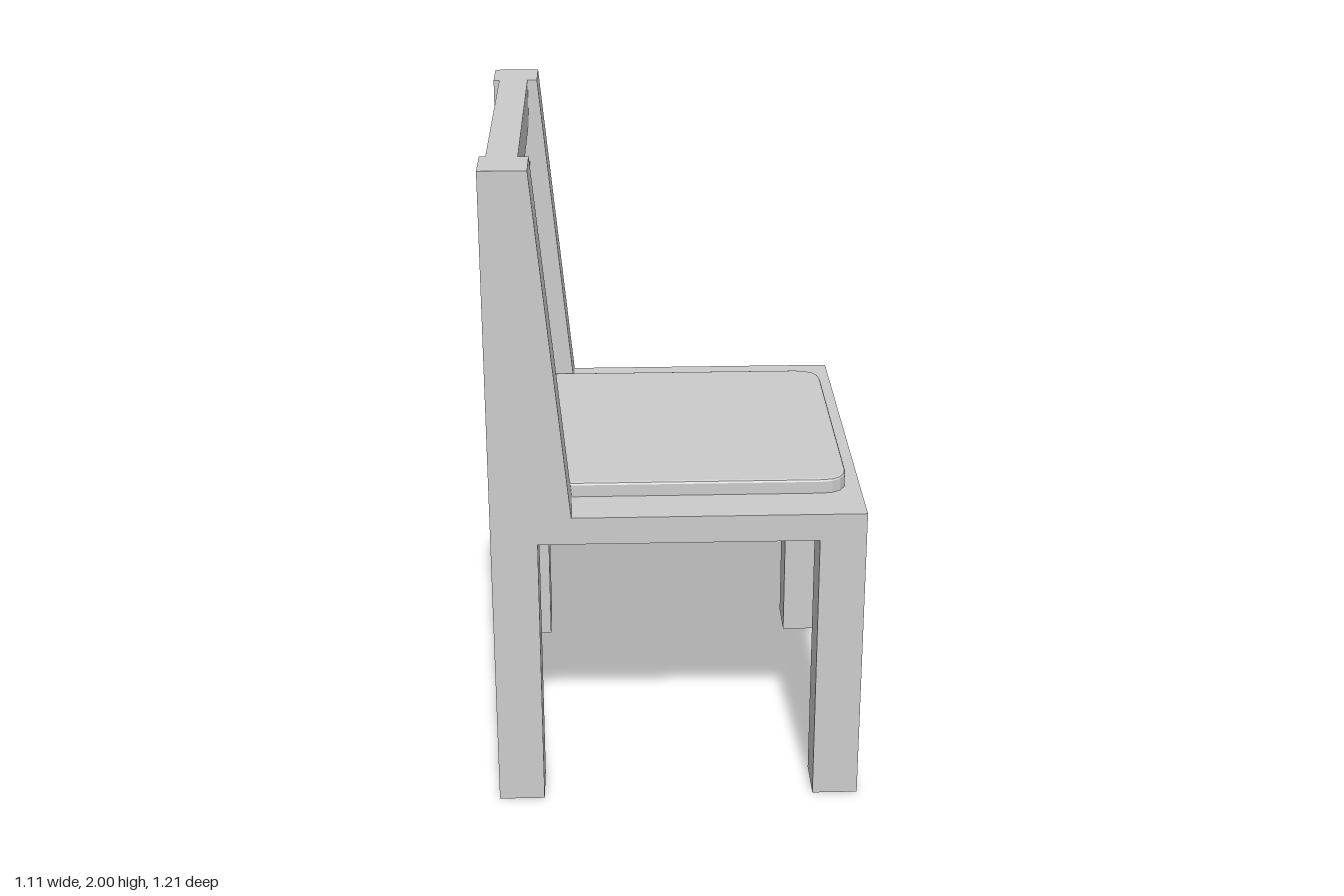
import * as THREE from 'three';

const W = 0.553, D = 0.603;          // half extents in x and z
const LEG_X = 0.138, LEG_Z = 0.148;  // leg section
const SEAT_BOTTOM = 0.87, SEAT_TOP = 0.955;

export function createModel() {
  const model = new THREE.Group();
  model.name = 'chair';
  const material = new THREE.MeshStandardMaterial({ color: 0xcccccc, flatShading: true });

  function add(name, geometry, x, y, z) {
    const mesh = new THREE.Mesh(geometry, material);
    mesh.name = name;
    mesh.position.set(x, y, z);
    model.add(mesh);
    return mesh;
  }

  // Seat slab
  add('seat', new THREE.BoxGeometry(2 * W, SEAT_TOP - SEAT_BOTTOM, 2 * D),
    0, (SEAT_TOP + SEAT_BOTTOM) / 2, 0);

  // Tapered upright profile, sloping on the side facing the seat
  const upright = new THREE.Shape([
    new THREE.Vector2(-W, SEAT_TOP),
    new THREE.Vector2(-0.315, SEAT_TOP),
    new THREE.Vector2(-W + LEG_X, 2),
    new THREE.Vector2(-W, 2),
  ]);

  // Legs and back uprights, mirrored on both sides
  for (const side of [1, -1]) {
    const name = side > 0 ? 'left' : 'right';
    const z = side * (D - LEG_Z / 2);
    for (const end of [1, -1]) {
      add(name + (end > 0 ? 'SeatFrontLeg' : 'BackrestLeg'),
        new THREE.BoxGeometry(LEG_X, SEAT_BOTTOM, LEG_Z),
        end * (W - LEG_X / 2), SEAT_BOTTOM / 2, z);
    }
    add(name + 'BackUpright',
      new THREE.ExtrudeGeometry(upright, { depth: LEG_Z, bevelEnabled: false }),
      0, 0, z - LEG_Z / 2);
  }

  // Horizontal back slats between the uprights
  for (let i = 0; i < 4; i++) {
    add('backSlat' + (i + 1), new THREE.BoxGeometry(0.09, 0.142, 2 * (D - LEG_Z)),
      -0.49, 1.134 + i * 0.265, 0);
  }

  // Cushion: rounded rectangle with a softened rim, slightly sunk into the seat
  const hx = 0.49, hz = 0.44, r = 0.07;
  const outline = new THREE.Shape();
  outline.moveTo(-hx + r, -hz);
  outline.lineTo(hx - r, -hz);
  outline.quadraticCurveTo(hx, -hz, hx, -hz + r);
  outline.lineTo(hx, hz - r);
  outline.quadraticCurveTo(hx, hz, hx - r, hz);
  outline.lineTo(-hx + r, hz);
  outline.quadraticCurveTo(-hx, hz, -hx, hz - r);
  outline.lineTo(-hx, -hz + r);
  outline.quadraticCurveTo(-hx, -hz, -hx + r, -hz);
  const cushion = new THREE.ExtrudeGeometry(outline, {
    depth: 0.042, bevelThickness: 0.008, bevelSize: 0.01, bevelSegments: 2, curveSegments: 4,
  });
  cushion.rotateX(-Math.PI / 2);
  add('cushion', cushion, 0.01, 0.95, 0.005);

  return model;
}
